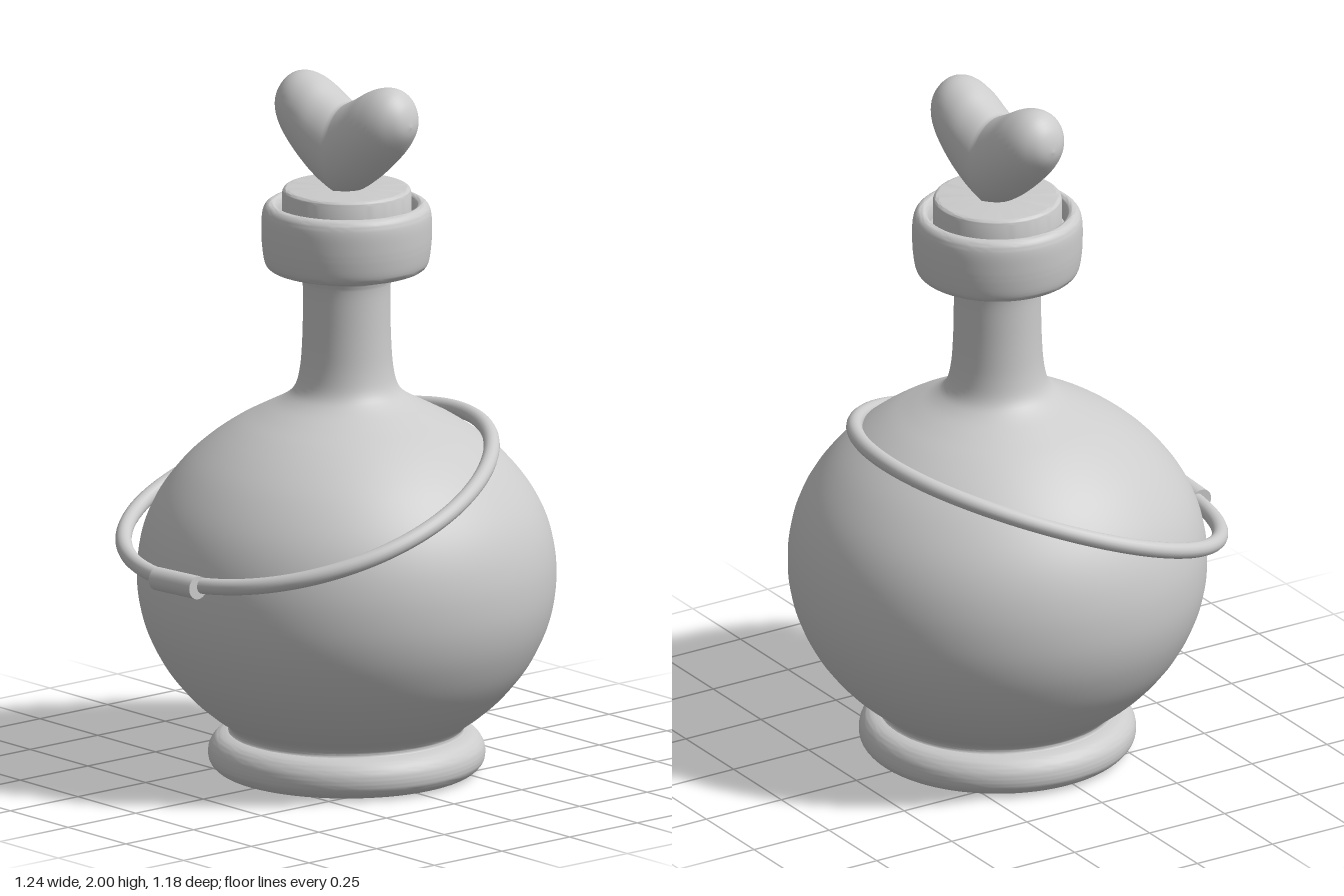
import * as THREE from 'three';
import { toCreasedNormals } from 'three/addons/utils/BufferGeometryUtils.js';

const material = new THREE.MeshStandardMaterial({ color: 0xcccccc });
const AXIS_X = 0.03; // the bottle stands slightly off centre because of the hoop

function addMesh(parent, name, geometry) {
  const mesh = new THREE.Mesh(geometry, material);
  mesh.name = name;
  parent.add(mesh);
  return mesh;
}

const toVectors = (pairs) => pairs.map(([r, y]) => new THREE.Vector2(r, y));

// Smooth curve through [radius, height] pairs
const smooth = (pairs, n) => new THREE.SplineCurve(toVectors(pairs)).getPoints(n);

// Revolved part, profile listed from bottom to top
function turned(points) {
  return toCreasedNormals(new THREE.LatheGeometry(points, 72), 0.7);
}

// Plump heart: elliptical slices stacked from one lobe tip to the other
function heartGeometry() {
  // Rows of distance from the middle, top height, bottom height, half thickness
  const rows = [
    [0, 1.93, 1.665, 0.104], [0.05, 1.957, 1.688, 0.105], [0.1, 1.986, 1.722, 0.105], [0.15, 2.0, 1.766, 0.098],
    [0.19, 1.993, 1.806, 0.082], [0.22, 1.965, 1.845, 0.056], [0.235, 1.933, 1.873, 0.03], [0.241, 1.9, 1.9, 0],
  ];
  const column = (i) => new THREE.SplineCurve(rows.map((row) => new THREE.Vector2(row[0], row[i])));
  const [top, bottom, thick] = [1, 2, 3].map(column);
  const half = 28, around = 40, positions = [], indices = [];
  for (let s = -half; s <= half; s++) {
    const t = Math.abs(s) / half;
    const { x: z, y: high } = top.getPoint(t);
    const low = bottom.getPoint(t).y, rx = thick.getPoint(t).y;
    for (let k = 0; k < around; k++) {
      const a = (k / around) * Math.PI * 2;
      positions.push(rx * Math.cos(a), (high + low) / 2 + ((high - low) / 2) * Math.sin(a), Math.sign(s) * z);
    }
  }
  for (let s = 0; s < half * 2; s++) {
    for (let k = 0; k < around; k++) {
      const a = s * around + k, b = s * around + ((k + 1) % around);
      indices.push(a, b, a + around, b, b + around, a + around);
    }
  }
  const g = new THREE.BufferGeometry();
  g.setAttribute('position', new THREE.Float32BufferAttribute(positions, 3));
  g.setIndex(indices);
  g.computeVertexNormals();
  return g;
}

// Slightly egg-shaped loop, lying in a tilted plane
function hoopGeometry() {
  const uphill = new THREE.Vector3(1, 0.337, 0).normalize();
  const side = new THREE.Vector3(0, 0.04, 1).normalize();
  const points = [];
  for (let i = 0; i < 48; i++) {
    const a = (i / 48) * Math.PI * 2;
    const r = 0.533 + 0.0155 * (Math.cos(3 * a) - Math.cos(a));
    points.push(new THREE.Vector3()
      .addScaledVector(uphill, r * Math.cos(a))
      .addScaledVector(side, r * Math.sin(a)));
  }
  return new THREE.TubeGeometry(new THREE.CatmullRomCurve3(points, true), 128, 0.023, 16, true);
}

export function createModel() {
  const model = new THREE.Group();
  model.name = 'potionBottle';

  const bottle = new THREE.Group();
  bottle.name = 'bottle';
  bottle.position.x = AXIS_X;
  model.add(bottle);

  // Rounded foot with a shallow recess underneath
  addMesh(bottle, 'foot', turned([
    ...toVectors([[0, 0.03]]),
    ...smooth([[0.293, 0.03], [0.3, 0.012], [0.318, 0.002], [0.34, 0.001], [0.366, 0.01], [0.385, 0.03],
      [0.39, 0.054], [0.385, 0.08], [0.368, 0.103], [0.345, 0.114], [0.32, 0.118]], 44),
  ]));

  // Round body flowing into the neck
  addMesh(bottle, 'bodyAndNeck', turned(smooth([
    [0.345, 0.105], [0.33, 0.123], [0.343, 0.143], [0.382, 0.172], [0.43, 0.213], [0.475, 0.262], [0.514, 0.315],
    [0.546, 0.374], [0.57, 0.435], [0.585, 0.5], [0.59, 0.567], [0.586, 0.635], [0.571, 0.705], [0.544, 0.772],
    [0.504, 0.836], [0.45, 0.9], [0.385, 0.957], [0.315, 1.005], [0.245, 1.043], [0.18, 1.078],
    [0.146, 1.112], [0.131, 1.17], [0.125, 1.25], [0.123, 1.34], [0.124, 1.41], [0.132, 1.437], [0.16, 1.453],
  ], 110)));

  // Thick collar with a hollow rim
  addMesh(bottle, 'collar', turned([
    ...toVectors([[0.1, 1.449]]),
    ...smooth([[0.19, 1.451], [0.217, 1.457], [0.231, 1.475], [0.238, 1.52], [0.24, 1.56], [0.239, 1.605],
      [0.232, 1.632], [0.215, 1.645], [0.2, 1.638], [0.192, 1.615]], 36),
    ...toVectors([[0.192, 1.59], [0, 1.59]]),
  ]));

  // Stopper disc with a softened upper edge
  addMesh(bottle, 'stopper', turned([
    ...toVectors([[0.182, 1.58]]),
    ...smooth([[0.182, 1.672], [0.179, 1.682], [0.173, 1.687], [0.163, 1.688]], 12),
    ...toVectors([[0, 1.688]]),
  ]));

  // Heart finial, turned a little about the bottle axis
  addMesh(bottle, 'heartFinial', heartGeometry()).rotation.y = 0.145;

  // Tilted hoop resting on the shoulder
  addMesh(model, 'hoop', hoopGeometry()).position.set(-0.073, 0.81, -0.018);

  // Clasp sleeve at the low point of the hoop
  const clasp = addMesh(model, 'clasp', new THREE.CylinderGeometry(0.033, 0.033, 0.176, 24));
  clasp.position.set(-0.59, 0.64, -0.005);
  clasp.rotation.x = Math.PI / 2 - 0.04;

  return model;
}
